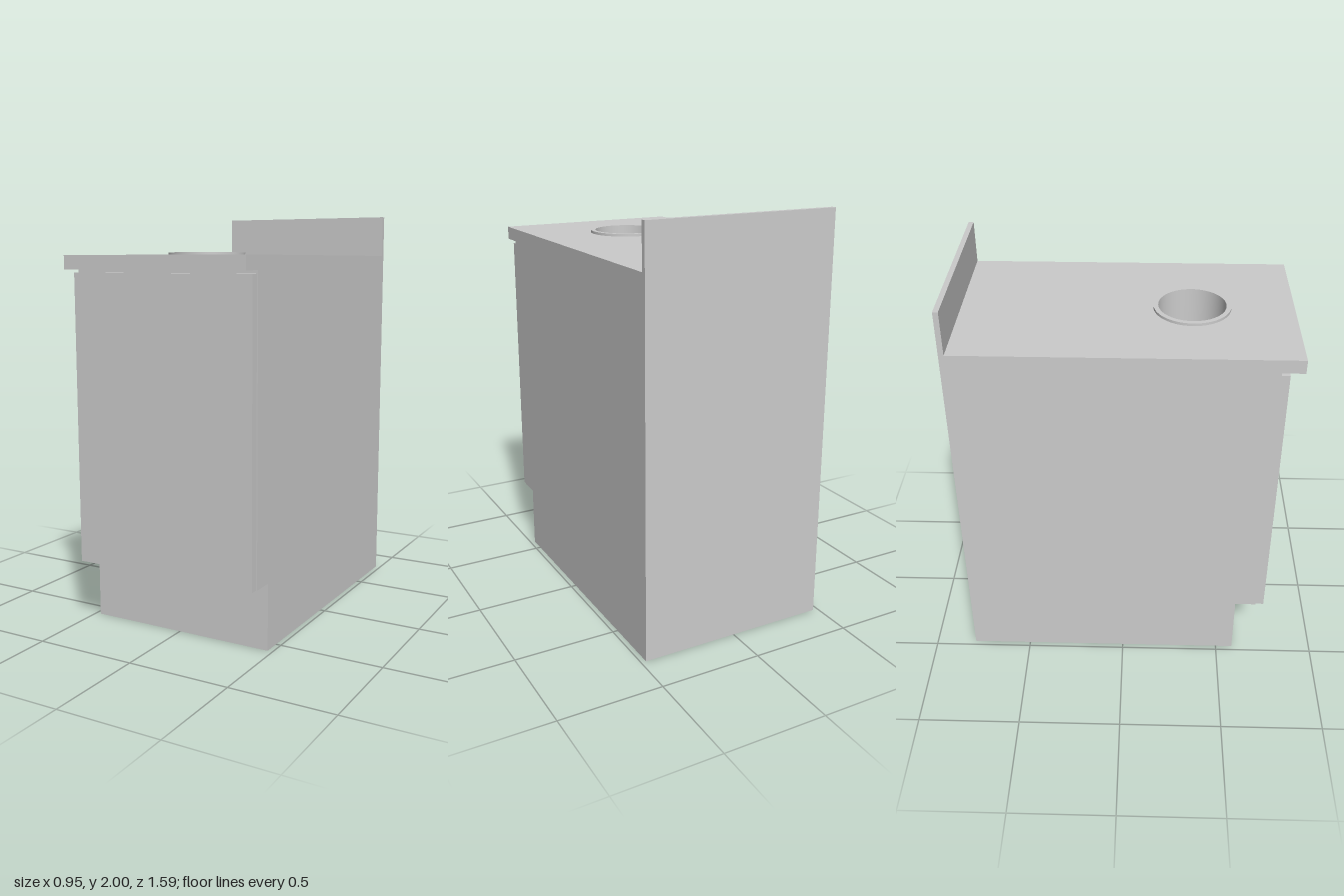
import * as THREE from 'three';
import { toCreasedNormals } from 'three/addons/utils/BufferGeometryUtils.js';

const W = 0.95, BACK = -0.795, HOLE_Z = 0.315;

export function createModel() {
  const group = new THREE.Group();
  const mat = new THREE.MeshStandardMaterial({ color: 0xcccccc });

  const add = (name, geometry) => {
    const mesh = new THREE.Mesh(geometry, mat);
    mesh.name = name;
    group.add(mesh);
    return mesh;
  };

  // Box given by its y and z ranges, centred on x
  const block = (name, w, y0, y1, z0, z1) =>
    add(name, new THREE.BoxGeometry(w, y1 - y0, z1 - z0))
      .position.set(0, (y0 + y1) / 2, (z0 + z1) / 2);

  // Horizontal slab with a round hole for the chute
  const holedSlab = (name, y0, y1, z0, z1) => {
    const shape = new THREE.Shape();
    shape.moveTo(-W / 2, -z1);
    shape.lineTo(W / 2, -z1);
    shape.lineTo(W / 2, -z0);
    shape.lineTo(-W / 2, -z0);
    shape.closePath();
    const hole = new THREE.Path();
    hole.absarc(0, -HOLE_Z, 0.17, 0, Math.PI * 2, true);
    shape.holes.push(hole);
    const geo = new THREE.ExtrudeGeometry(shape, { depth: y1 - y0, bevelEnabled: false, curveSegments: 48 });
    geo.rotateX(-Math.PI / 2);
    add(name, geo).position.y = y0;
  };

  // Cabinet: recessed plinth, main body, upper body around the chute
  block('plinth', W, 0, 0.32, BACK, 0.585);
  block('cabinetBody', W, 0.32, 1.45, BACK, 0.69);
  holedSlab('upperCabinetBody', 1.45, 1.725, BACK, 0.69);

  // Front panel, slightly narrower than the body
  block('door', 0.94, 0.32, 1.71, 0.69, 0.73);

  // Worktop with front overhang and upstand at the back
  holedSlab('worktop', 1.725, 1.79, BACK, 0.795);
  block('backsplash', W, 1.79, 2, BACK, -0.77);

  // Raised rim, chute wall and floor in one turned profile
  const profile = [[0.183, 1.785], [0.183, 1.803], [0.16, 1.803], [0.16, 1.46], [0, 1.46]]
    .reverse().map(([r, y]) => new THREE.Vector2(r, y));
  const chute = new THREE.LatheGeometry(profile.reverse(), 64);
  const mesh = add('chute', toCreasedNormals(chute, 0.6));
  mesh.material = mat.clone();
  mesh.material.side = THREE.DoubleSide;
  mesh.position.z = HOLE_Z;

  return group;
}
